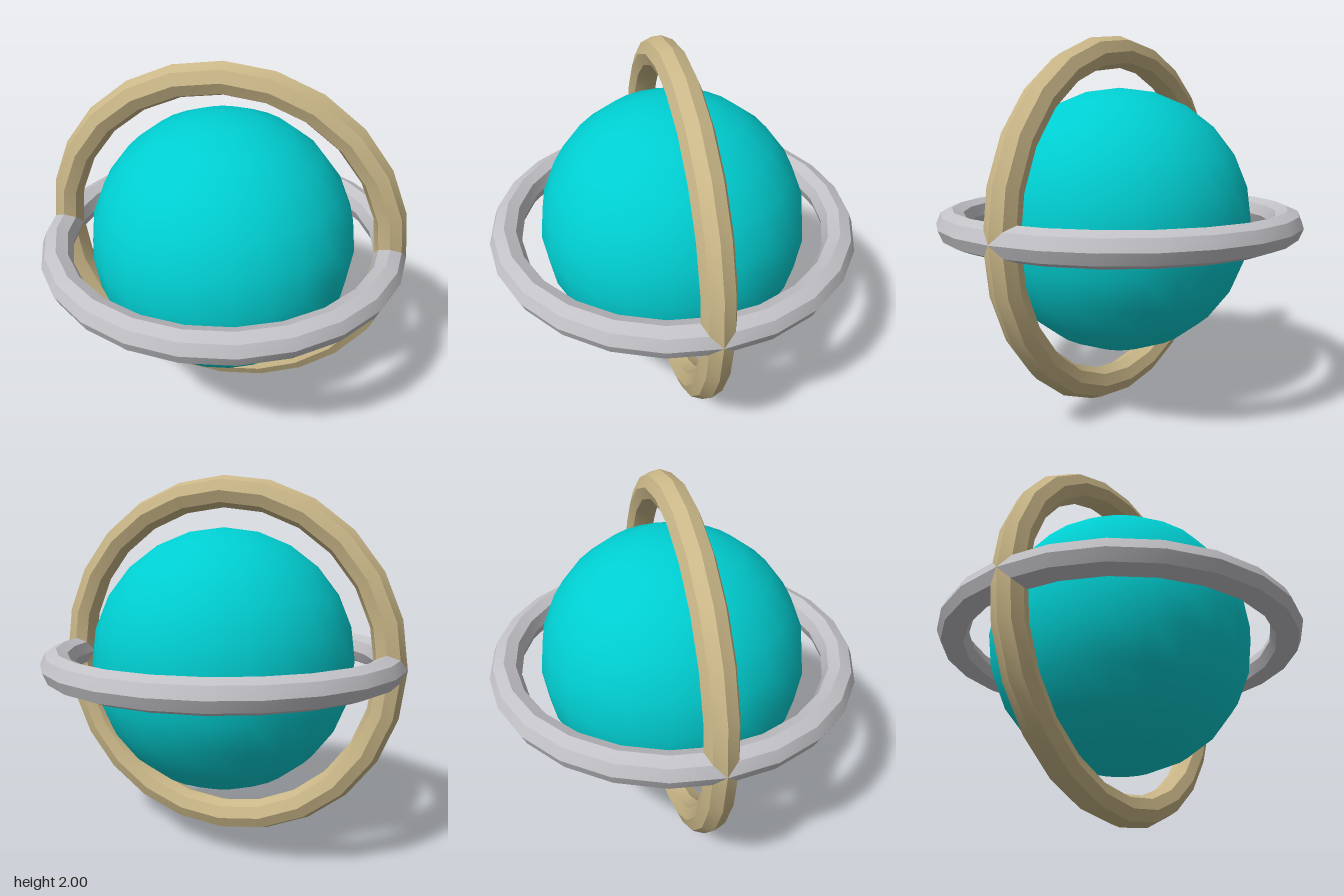
import * as THREE from 'three';
import { toCreasedNormals } from 'three/addons/utils/BufferGeometryUtils.js';

export function createModel() {
  const model = new THREE.Group();
  model.name = 'ringedOrb';

  const paint = (name, color) => {
    const material = new THREE.MeshStandardMaterial({ color });
    material.name = name;
    return material;
  };
  const turquoise = paint('turquoise', 0x00ced1);
  const gold = paint('paleGold', 0xcab788);
  const silver = paint('silver', 0xc2c2c7);

  const add = (name, geometry, material) => {
    const mesh = new THREE.Mesh(geometry, material);
    mesh.name = name;
    mesh.position.y = 1;
    model.add(mesh);
    return mesh;
  };

  // Smooth central ball
  add('orb', new THREE.SphereGeometry(0.725, 24, 12), turquoise);

  // Octagonal-section rings: crisp along the tube edges, smooth around the hoop
  const ring = toCreasedNormals(new THREE.TorusGeometry(0.915, 0.085, 8, 24), Math.PI / 6);
  add('uprightRing', ring, gold);
  add('levelRing', ring, silver).rotation.x = Math.PI / 2;

  return model;
}
